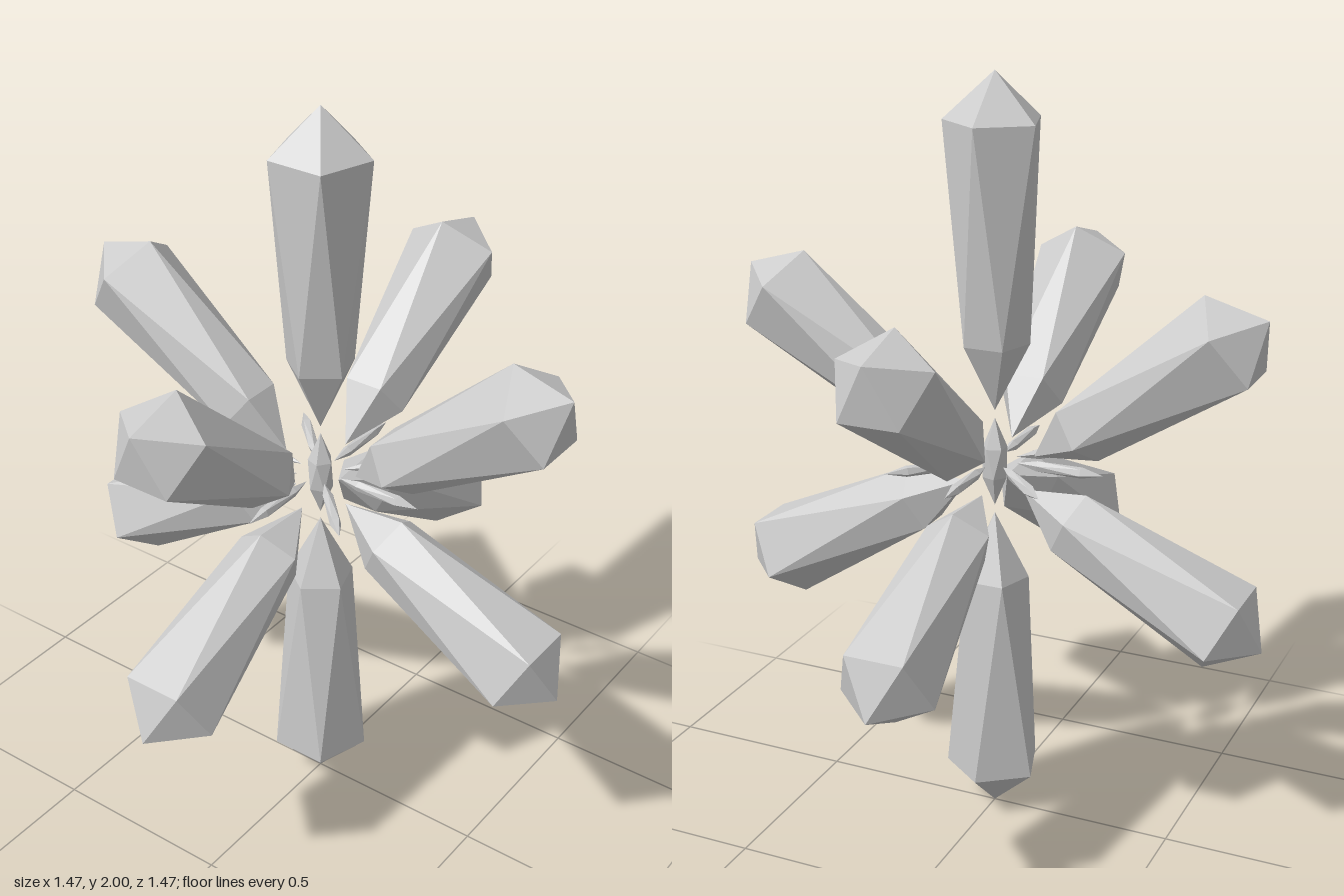
import * as THREE from 'three';
import { ConvexGeometry } from 'three/addons/geometries/ConvexGeometry.js';

const material = new THREE.MeshStandardMaterial({ color: 0xcccccc, flatShading: true });

// Faceted shard along +y: base point, lower ring, shoulder ring (turned half a step), tip.
// roll is the angle of one shoulder corner, measured from +x towards +z.
function shardGeometry(length, [lowY, lowR], [highY, highR], roll = 0) {
  const points = [new THREE.Vector3(0, 0, 0), new THREE.Vector3(0, length, 0)];
  for (let i = 0; i < 5; i++) {
    const a = roll + (i * Math.PI * 2) / 5;
    const b = a + Math.PI / 5;
    points.push(new THREE.Vector3(Math.cos(a) * highR, highY, Math.sin(a) * highR));
    points.push(new THREE.Vector3(Math.cos(b) * lowR, lowY, Math.sin(b) * lowR));
  }
  return new ConvexGeometry(points);
}

// Places a shard with its base at (x, y), tilted up from horizontal, then turned about the vertical.
function addShard(parent, name, geometry, x, y, tilt, turn = 0) {
  const mesh = new THREE.Mesh(geometry, material);
  mesh.name = name;
  mesh.position.set(x, y, 0);
  mesh.rotation.z = THREE.MathUtils.degToRad(tilt - 90);
  const pivot = new THREE.Group();
  pivot.name = name + 'Pivot';
  pivot.rotation.y = turn;
  pivot.add(mesh);
  parent.add(pivot);
}

export function createModel() {
  const model = new THREE.Group();
  model.name = 'crystalBurst';

  // Vertical crystals
  const tall = shardGeometry(0.86, [0.18, 0.09], [0.74, 0.13], -Math.PI / 2);
  addShard(model, 'topCrystal', tall, 0, 1.14, 90);
  addShard(model, 'bottomCrystal', tall, 0, 0.86, -90);

  // Upper and lower rings of four crystals
  const upper = shardGeometry(0.735, [0.15, 0.09], [0.63, 0.132], Math.PI);
  const lower = shardGeometry(0.735, [0.15, 0.09], [0.63, 0.132], 0);
  for (let i = 0; i < 4; i++) {
    const turn = (i * Math.PI) / 2;
    addShard(model, 'upperCrystal', upper, 0.11, 1.03, 35.6, turn);
    addShard(model, 'lowerCrystal', lower, 0.08, 0.935, -27.3, turn);
  }

  // Thin needles around the middle
  const needle = shardGeometry(0.24, [0.06, 0.014], [0.18, 0.015]);
  for (let i = 0; i < 8; i++) {
    addShard(model, 'needle', needle, 0.06, 1.005, 0, (i * Math.PI) / 4);
  }

  // Small upright core
  const core = shardGeometry(0.24, [0.08, 0.033], [0.16, 0.033]);
  addShard(model, 'core', core, 0, 0.88, 90);

  return model;
}
